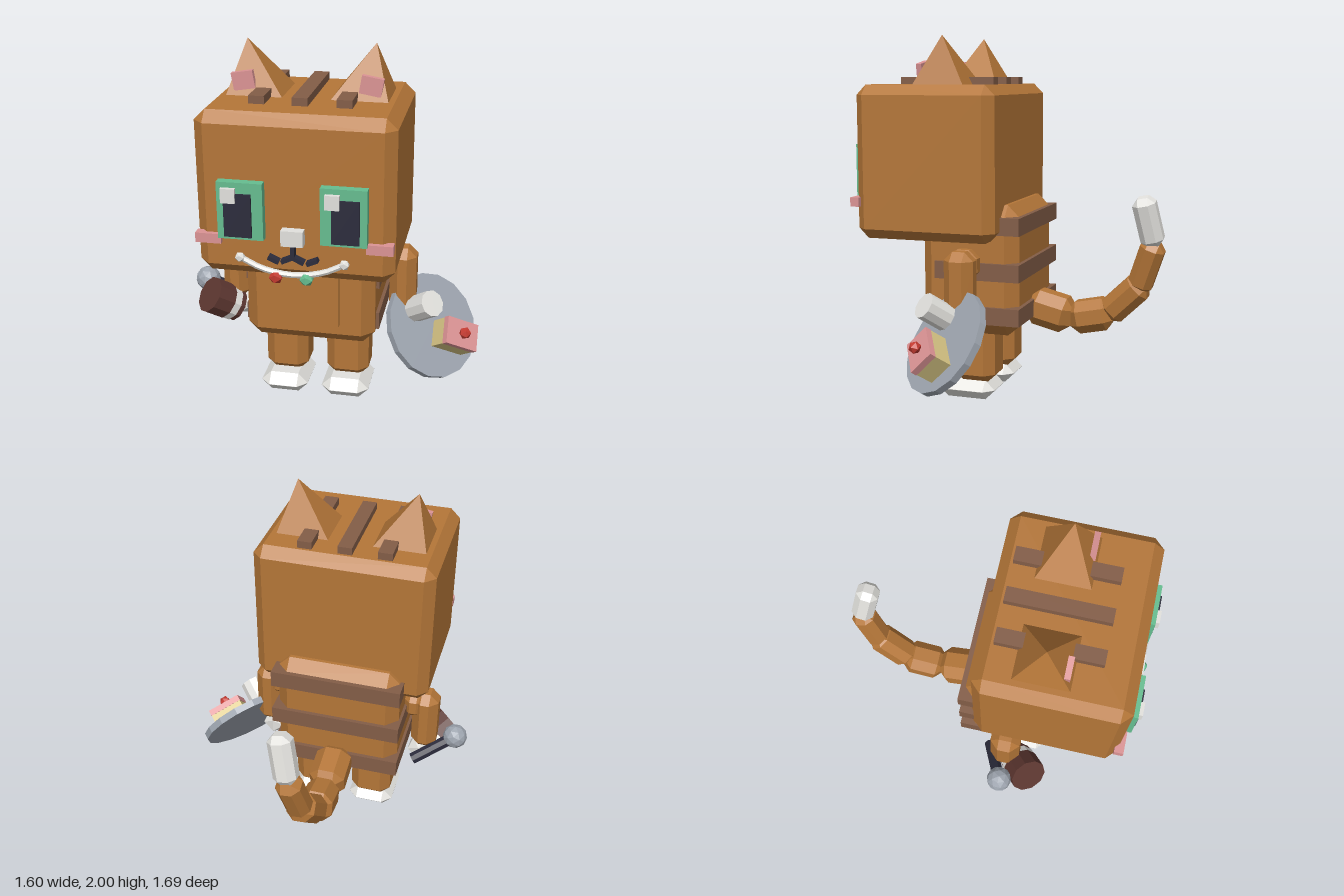
import * as THREE from 'three';
import { ConvexGeometry } from 'three/addons/geometries/ConvexGeometry.js';

const CX = -0.085; // mirror plane of the figure
const V = (x, y, z) => new THREE.Vector3(x, y, z);

function material(name, color) {
  const m = new THREE.MeshStandardMaterial({ color });
  m.name = name;
  return m;
}

// Box with every edge chamfered by c
function chamferBox(w, h, d, c) {
  const pts = [];
  for (const sx of [-1, 1]) for (const sy of [-1, 1]) for (const sz of [-1, 1]) {
    const x = w / 2, y = h / 2, z = d / 2;
    pts.push(V(sx * x, sy * (y - c), sz * (z - c)));
    pts.push(V(sx * (x - c), sy * y, sz * (z - c)));
    pts.push(V(sx * (x - c), sy * (y - c), sz * z));
  }
  return new ConvexGeometry(pts);
}

// Facet the normals for the low-poly look
function flat(geo) {
  const g = geo.index ? geo.toNonIndexed() : geo;
  g.computeVertexNormals();
  return g;
}

export function createModel() {
  const model = new THREE.Group();
  model.name = 'catFigure';

  const fur = material('fur brown', 0xb47638);
  const stripe = material('stripe brown', 0x835d47);
  const green = material('eye green', 0x66bd90);
  const navy = material('navy', 0x2c2c3c);
  const white = material('white', 0xe2e1dd);
  const grey = material('steel grey', 0x9da4ae);
  const pink = material('pink', 0xdb9394);
  const red = material('red', 0xc43a30);
  const cream = material('cream', 0xd6c484);
  const choc = material('chocolate', 0x5c3630);

  function add(name, geo, mat, x = 0, y = 0, z = 0, parent = model) {
    const m = new THREE.Mesh(flat(geo), mat);
    m.name = name;
    m.position.set(x, y, z);
    parent.add(m);
    return m;
  }
  // Box given by its limits on each axis; c > 0 chamfers the edges
  function span(name, mat, x0, x1, y0, y1, z0, z1, c = 0) {
    const w = x1 - x0, h = y1 - y0, d = z1 - z0;
    const geo = c ? chamferBox(w, h, d, c) : new THREE.BoxGeometry(w, h, d);
    return add(name, geo, mat, (x0 + x1) / 2, (y0 + y1) / 2, (z0 + z1) / 2);
  }
  // Geometry whose y axis runs from a to b
  function between(name, geo, mat, a, b) {
    const p = a.clone().add(b).multiplyScalar(0.5);
    const m = add(name, geo, mat, p.x, p.y, p.z);
    m.quaternion.setFromUnitVectors(V(0, 1, 0), b.clone().sub(a).normalize());
    return m;
  }
  const ball = (name, mat, r, x, y, z, detail = 0, parent = model) =>
    add(name, new THREE.IcosahedronGeometry(r, detail), mat, x, y, z, parent);

  // Head and body
  span('head', fur, -0.575, 0.405, 0.91, 1.74, -0.02, 0.765, 0.055);
  span('body', fur, -0.435, 0.26, 0.385, 1.1, -0.105, 0.445, 0.065);
  span('bellyPanel', fur, -0.255, 0.08, 0.51, 1.0, 0.42, 0.475);
  for (const y of [0.455, 0.695, 0.945])
    span('backStripe', stripe, -0.45, 0.278, y, y + 0.095, -0.127, 0.355);

  // Stripes on top of the head
  for (const x of [-0.301, CX - 0.002, 0.13])
    span('headStripe', stripe, x - 0.039, x + 0.039, 1.7, 1.78, 0.05, 0.585);

  // Paired parts
  for (const s of [-1, 1]) {
    const X = (d) => CX + s * d;
    const pair = (name, mat, d, hw, y0, y1, z0, z1, c) =>
      span(name, mat, X(d) - hw, X(d) + hw, y0, y1, z0, z1, c);

    // Ears lean outwards
    const ear = [V(X(0.325), 2.0, 0.312)];
    for (const d of [0.11, 0.41]) for (const z of [0.16, 0.46]) ear.push(V(X(d), 1.725, z));
    add('ear', new ConvexGeometry(ear), fur);
    const inner = add('innerEar', new THREE.BoxGeometry(0.11, 0.09, 0.03), pink, X(0.32), 1.813, 0.425);
    inner.rotation.z = -s * 0.17;

    // Eyes and cheeks
    pair('eyeFrame', green, 0.252, 0.113, 1.125, 1.415, 0.74, 0.81);
    pair('pupil', navy, 0.262, 0.068, 1.14, 1.36, 0.78, 0.822);
    span('eyeHighlight', white, X(0.252) - 0.088, X(0.252) - 0.017, 1.315, 1.388, 0.79, 0.832);
    pair('cheek', pink, 0.423, 0.065, 1.085, 1.135, 0.74, 0.79);

    // Arms, hands, legs, feet
    pair('shoulder', fur, 0.4, 0.065, 0.705, 0.87, 0.085, 0.245, 0.045);
    pair('arm', fur, 0.467, 0.073, 0.5, 0.87, 0.082, 0.247, 0.048);
    ball('hand', white, 0.075, X(0.445), 0.455, 0.165);
    pair('leg', fur, 0.172, 0.118, 0.09, 0.45, 0.05, 0.285, 0.052);
    pair('foot', white, 0.172, 0.132, 0, 0.11, 0.05, 0.38, 0.054);

    // Mouth strokes
    const z = 0.785;
    between('mouthInner', new THREE.BoxGeometry(0.02, 0.062, 0.04), navy, V(X(0), 1.042, z), V(X(0.055), 1.016, z));
    between('mouthOuter', new THREE.BoxGeometry(0.02, 0.058, 0.04), navy, V(X(0.07), 1.013, z), V(X(0.122), 1.036, z));
    ball('garlandEnd', white, 0.027, X(0.257), 1.033, 0.812);
  }

  // Nose, lip line and garland
  span('nose', white, -0.14, -0.03, 1.105, 1.185, 0.75, 0.812);
  span('lipLine', navy, CX - 0.01, CX + 0.01, 1.035, 1.11, 0.765, 0.805);
  const garland = new THREE.CatmullRomCurve3([
    [-0.257, 1.033], [-0.15, 0.982], [0, 0.958], [0.15, 0.982], [0.257, 1.033],
  ].map(([x, y]) => V(CX + x, y, 0.81)));
  add('garland', new THREE.TubeGeometry(garland, 12, 0.015, 6), white);
  ball('redBead', red, 0.037, -0.165, 0.943, 0.812);
  ball('greenBead', green, 0.037, -0.013, 0.943, 0.812);

  // Tail of chamfered segments with a white tip
  [
    [V(-0.09, 0.51, -0.07), V(-0.09, 0.445, -0.335), 0.2, fur],
    [V(-0.09, 0.44, -0.315), V(-0.095, 0.49, -0.56), 0.18, fur],
    [V(-0.095, 0.475, -0.525), V(-0.065, 0.675, -0.73), 0.155, fur],
    [V(-0.07, 0.63, -0.7), V(-0.03, 0.905, -0.795), 0.135, fur],
    [V(-0.03, 0.885, -0.79), V(0.025, 1.15, -0.735), 0.125, white],
  ].forEach(([a, b, w, mat], i) =>
    between(i < 4 ? 'tailSegment' : 'tailTip', chamferBox(w, a.distanceTo(b), w, w * 0.28), mat, a, b));

  // Tilted holder: local y points outwards, up and forwards on side s
  function tilted(name, s, x, y, z) {
    const g = new THREE.Group();
    g.name = name;
    const n = V(s * 0.63, 0.54, 0.54).normalize();
    const b = V(0, -s * Math.SQRT1_2, s * Math.SQRT1_2);
    const a = n.clone().cross(b);
    g.quaternion.setFromRotationMatrix(new THREE.Matrix4().makeBasis(a, n, b));
    g.position.set(x, y, z);
    model.add(g);
    return g;
  }
  const cyl = (r, h, n) => new THREE.CylinderGeometry(r, r, h, n);

  // Serving plate with cup and cake
  const plate = tilted('servingPlate', 1, 0.545, 0.415, 0.185);
  add('plate', cyl(0.29, 0.04, 16), grey, 0, 0, 0, plate);
  add('cup', cyl(0.072, 0.155, 10), white, -0.13, 0.097, -0.055, plate);
  add('cakeSponge', new THREE.BoxGeometry(0.2, 0.1, 0.145), cream, 0.1, 0.07, 0.05, plate);
  add('cakeIcing', new THREE.BoxGeometry(0.204, 0.036, 0.15), pink, 0.1, 0.138, 0.05, plate);
  ball('cherry', red, 0.034, 0.1, 0.178, 0.05, 0, plate);

  // Banded mug
  const mug = tilted('mug', -1, -0.613, 0.51, 0.275);
  add('mugTop', cyl(0.103, 0.11, 10), choc, 0, 0.038, 0, mug);
  add('mugBand', cyl(0.1, 0.045, 10), white, 0, -0.039, 0, mug);
  add('mugBase', cyl(0.095, 0.032, 10), choc, 0, -0.077, 0, mug);

  // Microphone
  ball('microphoneHead', grey, 0.07, -0.73, 0.58, 0.165, 1);
  between('microphoneHandle', cyl(0.035, 0.27, 8), navy, V(-0.72, 0.57, 0.16), V(-0.51, 0.44, 0.065));

  return model;
}
